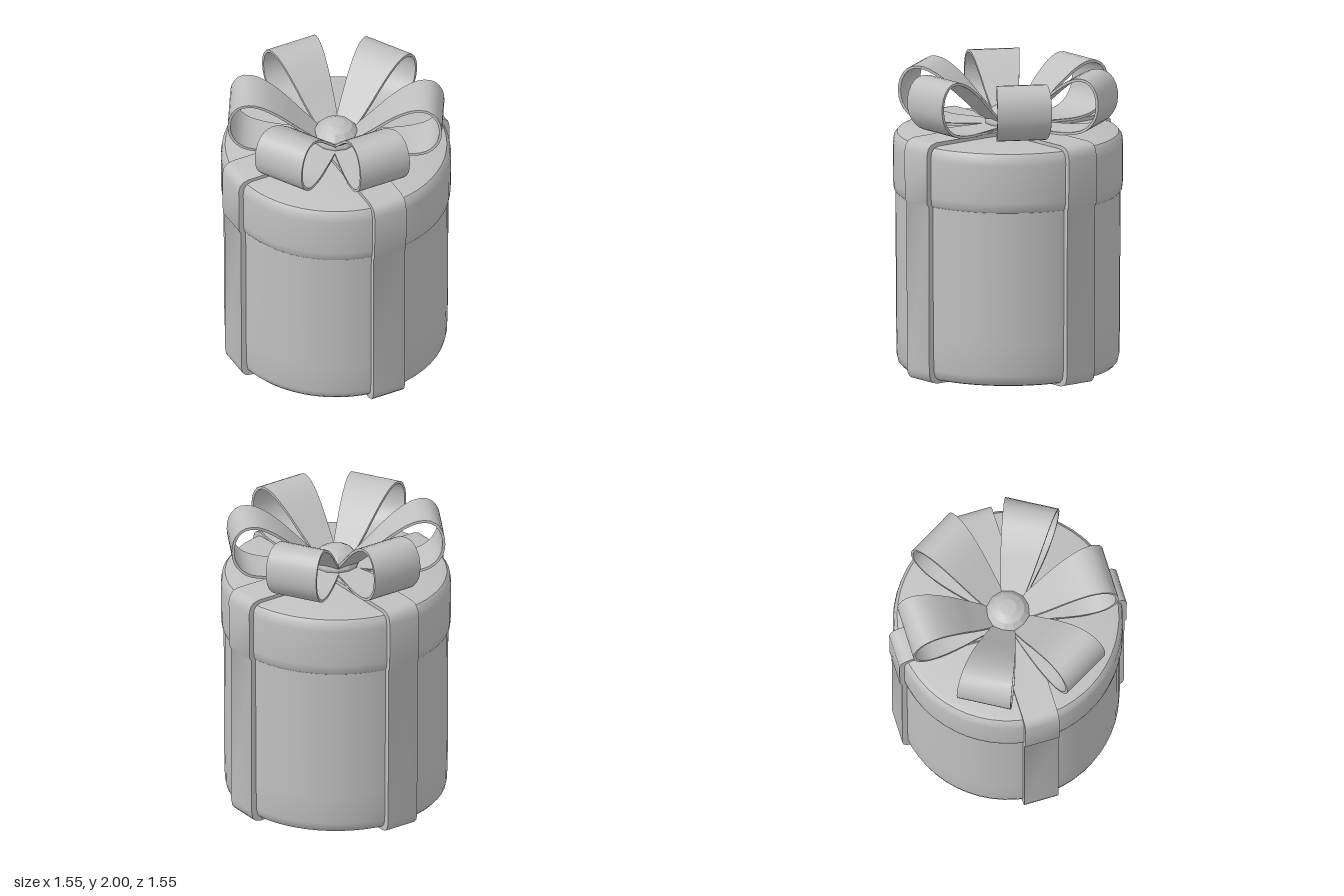
import * as THREE from 'three';
import { toCreasedNormals } from 'three/addons/utils/BufferGeometryUtils.js';

const grey = new THREE.MeshStandardMaterial({ color: 0xc0c0c0 });
grey.name = 'plain grey';

function part(name, geometry, crease = 0.6) {
  const mesh = new THREE.Mesh(toCreasedNormals(geometry, crease), grey);
  mesh.name = name;
  return mesh;
}

const lathe = (points) =>
  new THREE.LatheGeometry(points.map(([r, y]) => new THREE.Vector2(r, y)), 56);

// Flat slab that shows as a ribbon wrapped around the whole box
function ribbonGeometry(top) {
  const half = [
    [0.69, 0], [0.725, 0.01], [0.747, 0.035], [0.756, 0.08], [0.759, 1.185],
    [0.773, 1.21], [0.776, 1.53], [0.765, 1.575], [0.74, 1.6], [0.70, top],
  ];
  const outline = [...half, ...half.map(([x, y]) => [-x, y]).reverse()];
  const shape = new THREE.Shape(outline.map(([x, y]) => new THREE.Vector2(x, y)));
  const width = 0.232;
  return new THREE.ExtrudeGeometry(shape, { depth: width, bevelEnabled: false })
    .translate(0, 0, -width / 2);
}

// Thin band following a loop curve, widening away from the knot
function bowLoopGeometry() {
  const curve = new THREE.CatmullRomCurve3([
    [0.06, 1.627], [0.28, 1.622], [0.48, 1.625], [0.6, 1.66], [0.672, 1.74],
    [0.692, 1.83], [0.675, 1.92], [0.625, 1.98], [0.55, 1.991], [0.47, 1.962],
    [0.36, 1.885], [0.24, 1.775], [0.1, 1.65],
  ].map(([r, y]) => new THREE.Vector3(r, y, 0)));
  const count = 40, thickness = 0.009;
  const outer = [], inner = [];
  for (let i = 0; i <= count; i++) {
    const p = curve.getPointAt(i / count), t = curve.getTangentAt(i / count);
    outer.push(new THREE.Vector2(p.x + t.y * thickness, p.y - t.x * thickness));
    inner.push(new THREE.Vector2(p.x - t.y * thickness, p.y + t.x * thickness));
  }
  const shape = new THREE.Shape([...outer, ...inner.reverse()]);
  const geometry = new THREE.ExtrudeGeometry(shape, { depth: 2, bevelEnabled: false })
    .translate(0, 0, -1);
  const pos = geometry.attributes.position;
  for (let i = 0; i < pos.count; i++) {
    const r = pos.getX(i);
    const halfWidth = 0.045 + 0.295 * r - 0.145 * r * r;
    pos.setZ(i, pos.getZ(i) * halfWidth);
  }
  return geometry;
}

export function createModel() {
  const model = new THREE.Group();
  model.name = 'giftBox';

  // Round box and its slightly wider lid
  model.add(part('boxBody', lathe([
    [0, 0.014], [0.66, 0.014], [0.695, 0.025], [0.718, 0.05], [0.727, 0.09],
    [0.732, 0.3], [0.735, 1.2], [0, 1.2],
  ])));
  model.add(part('lid', lathe([
    [0, 1.185], [0.735, 1.185], [0.746, 1.2], [0.751, 1.25], [0.753, 1.5],
    [0.746, 1.55], [0.725, 1.577], [0.69, 1.587], [0, 1.587],
  ])));

  // Crossed ribbons; the second sits a hair higher at the crossing
  const ribbonAcross = part('ribbonAcross', ribbonGeometry(1.61));
  const ribbonFrontBack = part('ribbonFrontBack', ribbonGeometry(1.612));
  ribbonFrontBack.rotation.y = Math.PI / 2;
  model.add(ribbonAcross, ribbonFrontBack);

  // Six bow loops around the knot
  const bow = new THREE.Group();
  bow.name = 'bow';
  const loopGeometry = bowLoopGeometry();
  for (let i = 0; i < 6; i++) {
    const loop = part('bowLoop', loopGeometry, 0.5);
    loop.rotation.y = Math.PI / 6 + (i * Math.PI) / 3;
    bow.add(loop);
  }

  // Faceted knot
  const knot = part('knot', new THREE.SphereGeometry(0.152, 12, 8).scale(1, 0.78, 1), 0.3);
  knot.position.y = 1.65;
  bow.add(knot);
  model.add(bow);

  return model;
}
